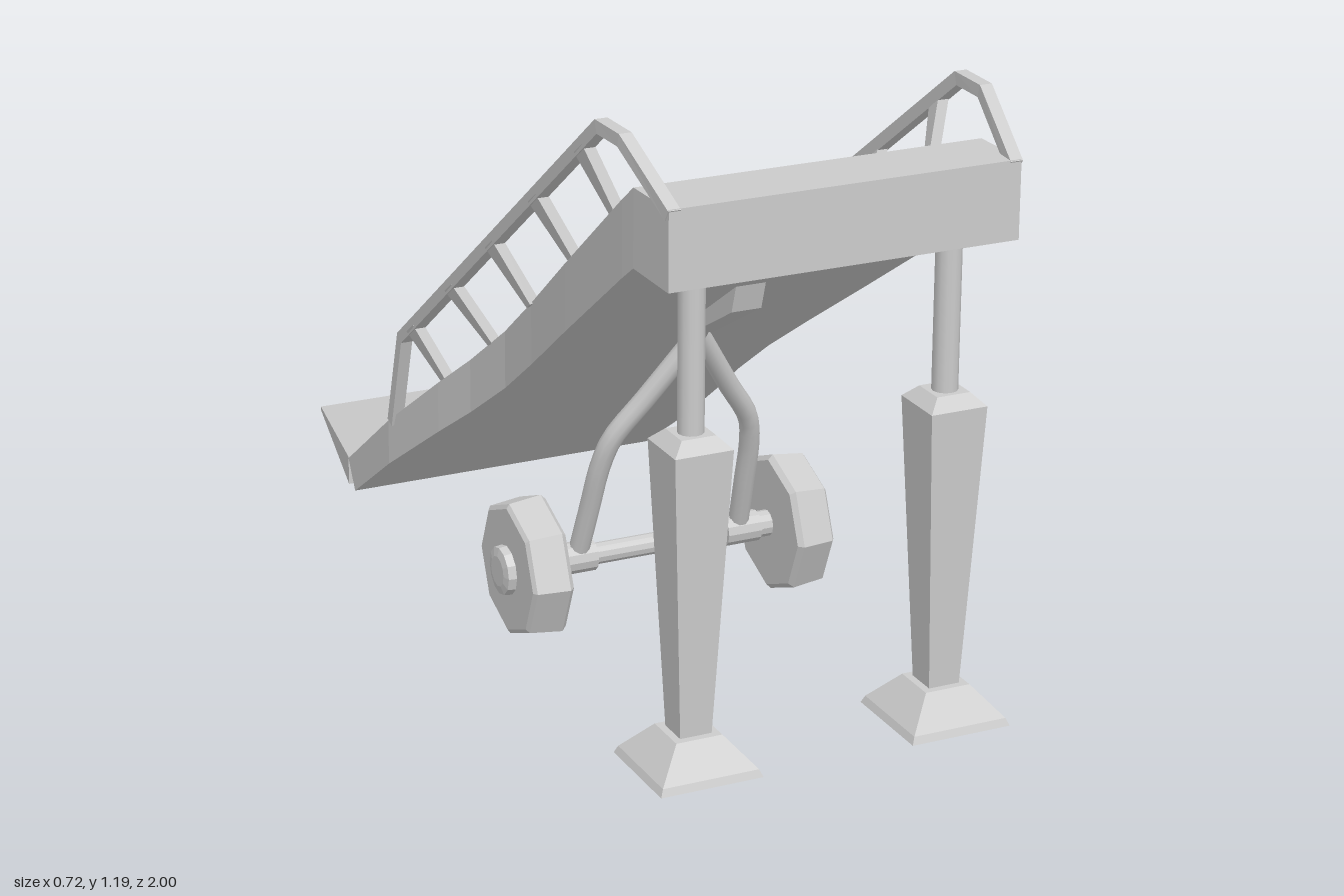
import * as THREE from 'three';

const flat = new THREE.MeshStandardMaterial({ color: 0xcccccc, flatShading: true });
const smooth = new THREE.MeshStandardMaterial({ color: 0xcccccc });

function add(parent, name, geometry, material = flat) {
  const mesh = new THREE.Mesh(geometry, material);
  mesh.name = name;
  parent.add(mesh);
  return mesh;
}

// Solid through four-cornered rings, counterclockwise about the travel direction
function loft(rings) {
  const pos = [];
  const quad = (a, b, c, d) => [a, b, c, a, c, d].forEach((p) => pos.push(...p));
  for (let r = 0; r < rings.length - 1; r++) {
    for (let i = 0; i < 4; i++) {
      const j = (i + 1) % 4;
      quad(rings[r][i], rings[r][j], rings[r + 1][j], rings[r + 1][i]);
    }
  }
  quad(...[...rings[0]].reverse());
  quad(...rings[rings.length - 1]);
  const g = new THREE.BufferGeometry();
  g.setAttribute('position', new THREE.Float32BufferAttribute(pos, 3));
  g.computeVertexNormals();
  return g;
}

// Sections running towards -z: [zTop, yTop, zBottom, yBottom, halfWidth]
const slab = (stations) => loft(stations.map(([zt, yt, zb, yb, w]) =>
  [[w, yt, zt], [w, yb, zb], [-w, yb, zb], [-w, yt, zt]]));

// Upright square column: [y, halfSize]
const column = (x, z, levels) => loft(levels.map(([y, h]) =>
  [[x + h, y, z + h], [x + h, y, z - h], [x - h, y, z - h], [x - h, y, z + h]]));

// Square bar mitred along a path that runs towards -z
function bar(points, h) {
  return loft(points.map((p, i) => {
    const dir = (a, b) => new THREE.Vector2(b[2] - a[2], b[1] - a[1]).normalize();
    const d0 = dir(points[Math.max(i - 1, 0)], points[Math.max(i, 1)]);
    const k = Math.min(i, points.length - 2);
    const d1 = dir(points[k], points[k + 1]);
    const t = d0.clone().add(d1).normalize();
    const m = h / t.dot(d0);
    const uz = t.y * m, uy = -t.x * m;
    return [[1, 1], [-1, 1], [-1, -1], [1, -1]].map(([u, v]) =>
      [p[0] + v * h, p[1] + u * uy, p[2] + u * uz]);
  }));
}

// Cylinder lying along x
function rod(parent, name, radius, length, x, y, z) {
  const mesh = add(parent, name, new THREE.CylinderGeometry(radius, radius, length, 12), flat);
  mesh.rotation.z = Math.PI / 2;
  mesh.position.set(x, y, z);
}

export function createModel() {
  const model = new THREE.Group();
  model.name = 'loadingRamp';

  // Sloping deck with a narrowed waist
  const topY = (z) => 0.08 + (z + 0.565) * 0.7173;
  const bottomY = (z) => 0.02 + (z + 0.53) * 0.674;
  const waist = [[0.8, 0.335], [0.5, 0.31], [0.3, 0.29], [0.15, 0.28], [0, 0.29], [-0.12, 0.31], [-0.33, 0.335]];
  add(model, 'deck', slab([
    [0.99, 1.097, 0.99, 0.95, 0.337],
    [0.85, 1.095, 0.85, 0.95, 0.337],
    ...waist.map(([z, w]) => [z, topY(z), z, bottomY(z), w]),
    [-0.565, 0.08, -0.53, 0.02, 0.335],
  ]));

  // Hinged flap resting on the ground
  add(model, 'flap', slab([
    [-0.565, 0.083, -0.565, 0.022, 0.335],
    [-1, 0.025, -1, 0.017, 0.235],
  ]));

  // Bracket that holds the wheel fork
  add(model, 'forkBracket', slab([
    [0.63, 0.81, 0.61, 0.745, 0.03],
    [0.4, 0.67, 0.4, 0.625, 0.03],
  ]));

  const axleY = 0.145, axleZ = 0.24;
  rod(model, 'axle', 0.021, 0.56, 0, axleY, axleZ);

  for (const s of [1, -1]) {
    const side = new THREE.Group();
    side.name = s > 0 ? 'leftSide' : 'rightSide';
    model.add(side);

    // Front leg: foot, tapered sleeve, round inner post
    const lx = s * 0.25, lz = 0.9;
    add(side, 'foot', column(lx, lz, [[0.018, 0.1], [0.032, 0.094], [0.088, 0.045]]));
    add(side, 'legSleeve', column(lx, lz, [[0.07, 0.03], [0.632, 0.056], [0.655, 0.033]]));
    add(side, 'legPost', new THREE.CylinderGeometry(0.024, 0.024, 0.34, 12), smooth)
      .position.set(lx, 0.8, lz);

    // Handrail
    add(side, 'handrail', bar([
      [s * 0.327, 1.085, 0.985], [s * 0.348, 1.178, 0.837], [s * 0.35, 1.178, 0.75],
      [s * 0.33, 0.457, -0.243], [s * 0.325, 0.25, -0.317],
    ], 0.012));

    // Tapered rail posts leaning inwards
    [0.305, 0.29, 0.285, 0.272, 0.28].forEach((xb, i) => {
      const zb = 0.725 - i * 0.2125, zt = zb - 0.052;
      const yt = 1.178 + (zt - 0.75) * 0.726 - 0.005;
      const ring = (x, y, z, h) => [[1, 1], [-1, 1], [-1, -1], [1, -1]].map(([u, v]) =>
        [x + v * 0.011, y + u * h * 0.58, z + u * h * 0.81]);
      add(side, 'railPost', loft([
        ring(s * xb, topY(zb) - 0.005, zb, 0.01),
        ring(s * (0.35 - i * 0.004), yt, zt, 0.021),
      ]));
    });

    // Fork arm bent from axle to bracket
    const arm = [[0.172, 0.14], [0.164, 0.26], [0.157, 0.36], [0.142, 0.42], [0.085, 0.505], [0, 0.635]];
    const curve = new THREE.CatmullRomCurve3(arm.map(([x, y]) =>
      new THREE.Vector3(s * x, y, axleZ + (y - axleY) * 0.354)));
    add(side, 'forkArm', new THREE.TubeGeometry(curve, 20, 0.02, 10), smooth);

    // Collars on the axle
    rod(side, 'forkCollar', 0.031, 0.072, s * 0.175, axleY, axleZ);
    rod(side, 'axleCollar', 0.026, 0.03, s * 0.225, axleY, axleZ);

    // Eight-sided wheel with hub
    const profile = (pts) => pts.map(([r, y]) => new THREE.Vector2(r, y));
    const wheel = add(side, 'wheel', new THREE.LatheGeometry(profile(
      [[0, 0.237], [0.132, 0.237], [0.142, 0.247], [0.134, 0.312], [0.125, 0.318], [0, 0.318]]), 8));
    const hub = add(side, 'hub', new THREE.LatheGeometry(profile(
      [[0.05, 0.31], [0.047, 0.334], [0.03, 0.338], [0, 0.338]]), 12));
    for (const part of [wheel, hub]) {
      part.rotation.z = -s * Math.PI / 2;
      part.position.set(0, axleY, axleZ);
    }
  }
  return model;
}
